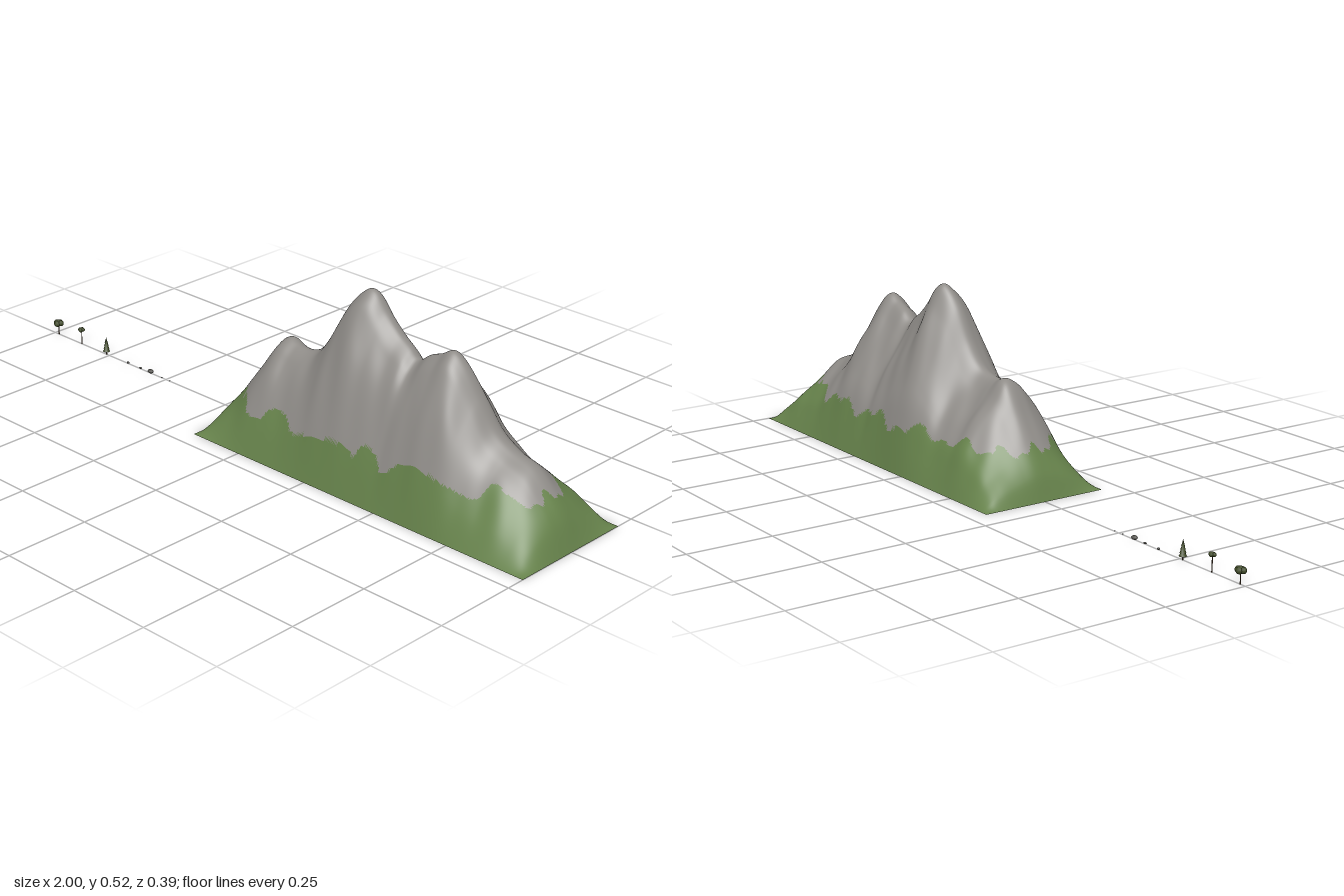
import * as THREE from 'three';

const material = (name, color, side = THREE.FrontSide) => {
  const m = new THREE.MeshStandardMaterial({ color, side });
  m.name = name;
  return m;
};

// Smooth curve through [position, value] pairs
function profile(points) {
  const slope = (i) => {
    const a = points[Math.max(i - 1, 0)], b = points[Math.min(i + 1, points.length - 1)];
    return (b[1] - a[1]) / (b[0] - a[0]);
  };
  return (x) => {
    let i = 0;
    while (i < points.length - 2 && x > points[i + 1][0]) i++;
    const [x0, y0] = points[i], [x1, y1] = points[i + 1], d = x1 - x0;
    const t = Math.min(1, Math.max(0, (x - x0) / d)), u = 1 - t;
    return y0 * (1 + 2 * t) * u * u + y1 * t * t * (3 - 2 * t)
      + d * t * u * (slope(i) * u - slope(i + 1) * t);
  };
}

// Skyline along x, relative section across z, and sideways drift of the ridge
const skyline = profile([[-0.175, 0], [-0.15, 0.07], [-0.1, 0.145], [-0.05, 0.215], [0, 0.285],
  [0.03, 0.302], [0.07, 0.292], [0.12, 0.294], [0.16, 0.315], [0.2, 0.37], [0.25, 0.465],
  [0.3, 0.518], [0.33, 0.515], [0.37, 0.47], [0.42, 0.425], [0.46, 0.4], [0.49, 0.378],
  [0.53, 0.403], [0.57, 0.42], [0.61, 0.44], [0.65, 0.41], [0.7, 0.335], [0.75, 0.258],
  [0.8, 0.22], [0.87, 0.19], [0.92, 0.14], [0.965, 0.08], [1, 0]]);
const section = profile([[-0.195, 0], [-0.175, 0.2], [-0.155, 0.38], [-0.13, 0.52], [-0.1, 0.66],
  [-0.05, 0.86], [-0.02, 0.975], [0, 1], [0.02, 0.975], [0.05, 0.9], [0.1, 0.69],
  [0.15, 0.36], [0.195, 0]]);
const drift = profile([[-0.175, 0], [0, 0.01], [0.1, 0.025], [0.22, 0.015], [0.32, 0],
  [0.45, 0.008], [0.61, 0.017], [0.75, 0.005], [0.87, -0.005], [1, 0]]);

// Height of the grass line on the front slope; the back uses a rippled version
const grassLine = profile([[-0.175, 0.14], [-0.1, 0.145], [-0.03, 0.14], [-0.01, 0.108], [0.05, 0.11],
  [0.07, 0.14], [0.14, 0.14], [0.17, 0.11], [0.25, 0.128], [0.37, 0.138], [0.4, 0.12],
  [0.42, 0.155], [0.47, 0.14], [0.5, 0.105], [0.55, 0.145], [0.6, 0.16], [0.65, 0.15],
  [0.72, 0.13], [0.79, 0.12], [0.81, 0.16], [0.9, 0.135], [1, 0.13]]);

function grassHeight(x, z) {
  if (x < -0.05 || x > 0.84) return 0.13 + 0.012 * Math.sin(z * 70 + 1) + 0.008 * Math.sin(z * 150);
  if (z > 0) return grassLine(x);
  return 0.132 + 0.014 * Math.sin(x * 31 + 1) + 0.01 * Math.sin(x * 67);
}

function mountainHeight(x, z) {
  const fall = 1 - (z / 0.195) ** 2;
  const s = section(z - drift(x) * fall);
  const gullies = 0.5 * Math.sin(x * 37 + z * 18 + 1.5 * Math.sin(z * 30))
    + 0.35 * Math.sin(x * 71 - z * 34 + 2) + 0.3 * Math.sin(x * 19 + z * 62);
  return Math.max(0, skyline(x) * s * (1 + 0.16 * gullies * s * (1 - s)));
}

// Open-bottomed height surface, split into grass and rock faces
function mountain(grass, rock) {
  const nx = 260, nz = 90;
  const geo = new THREE.PlaneGeometry(1.175, 0.39, nx, nz);
  geo.rotateX(-Math.PI / 2).translate(0.4125, 0, 0);
  const p = geo.attributes.position;
  for (let i = 0; i < p.count; i++) p.setY(i, mountainHeight(p.getX(i), p.getZ(i)));
  const faces = [[], []];
  const index = geo.index.array;
  for (let i = 0; i < index.length; i += 3) {
    const f = [index[i], index[i + 1], index[i + 2]];
    const mean = (k) => f.reduce((sum, v) => sum + p.getComponent(v, k), 0) / 3;
    faces[mean(1) > grassHeight(mean(0), mean(2)) ? 1 : 0].push(...f);
  }
  geo.setIndex([...faces[0], ...faces[1]]);
  geo.addGroup(0, faces[0].length, 0);
  geo.addGroup(faces[0].length, faces[1].length, 1);
  geo.computeVertexNormals();
  const mesh = new THREE.Mesh(geo, [grass, rock]);
  mesh.name = 'mountain';
  return mesh;
}

export function createModel() {
  const model = new THREE.Group();
  const grass = material('grass green', 0x66824b, THREE.DoubleSide);
  const rock = material('rock grey', 0x908d89, THREE.DoubleSide);
  const leaf = material('dark leaf green', 0x3f4a26);
  const bark = material('bark brown', 0x4e3b28);
  const stone = material('stone grey', 0x55544f);

  const add = (parent, name, geo, mat, x, y, z = 0) => {
    const mesh = new THREE.Mesh(geo, mat);
    mesh.name = name;
    mesh.position.set(x, y, z);
    parent.add(mesh);
    return mesh;
  };

  model.add(mountain(grass, rock));

  // Broadleaf trees: thin trunk with a cluster of leaf clumps
  [[-0.982, 0.037, 0.012], [-0.875, 0.047, 0.008]].forEach(([x, y, r]) => {
    const tree = new THREE.Group();
    tree.name = 'broadleafTree';
    tree.position.x = x;
    add(tree, 'trunk', new THREE.CylinderGeometry(0.001, 0.002, y, 6), bark, 0, y / 2);
    [[0, 0.15, 0], [-0.55, 0, 0.2], [0.55, 0.05, -0.2], [0.1, -0.1, 0.5], [-0.1, 0, -0.5]].forEach(([a, b, c]) =>
      add(tree, 'leafClump', new THREE.IcosahedronGeometry(r * 0.8, 1), leaf, a * r, y + b * r, c * r));
    model.add(tree);
  });

  // Conifer: stacked cones on a trunk
  const conifer = new THREE.Group();
  conifer.name = 'conifer';
  conifer.position.x = -0.762;
  add(conifer, 'trunk', new THREE.CylinderGeometry(0.0015, 0.002, 0.016, 6), bark, 0, 0.008);
  for (let i = 0; i < 4; i++)
    add(conifer, 'branchTier', new THREE.ConeGeometry(0.011 - i * 0.002, 0.019, 8), leaf, 0, 0.02 + i * 0.0088);
  model.add(conifer);

  // Boulders, shrinking to pebbles
  [[-0.665, 0.005], [-0.61, 0.005], [-0.566, 0.01], [-0.517, 0.0025], [-0.483, 0.002]].forEach(([x, r]) => {
    const boulder = add(model, 'boulder', new THREE.IcosahedronGeometry(r, 1), stone, x, r * 0.6);
    boulder.scale.set(1, 0.6, 0.8);
  });

  return model;
}
